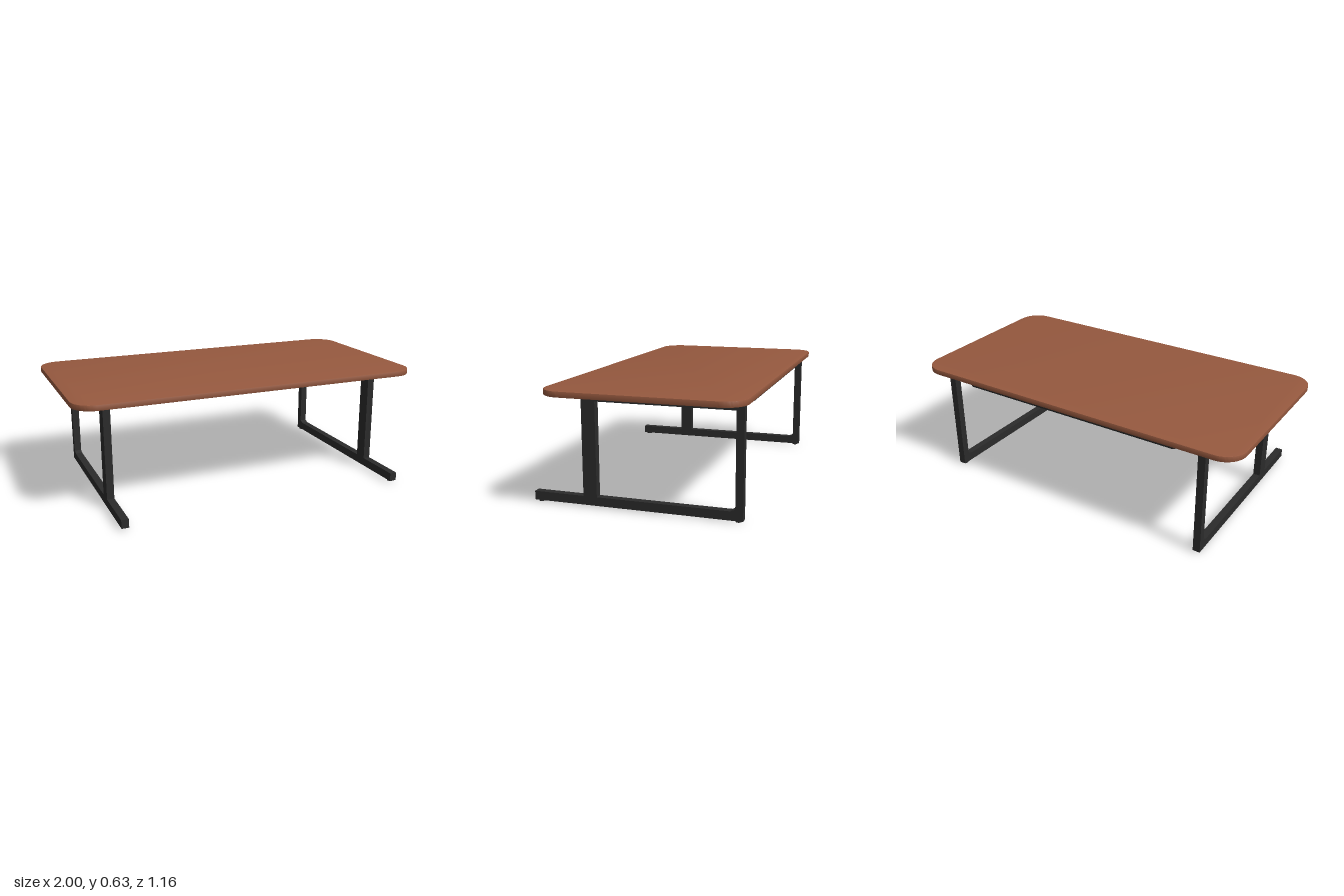
import * as THREE from 'three';
import { toCreasedNormals } from 'three/addons/utils/BufferGeometryUtils.js';

const wood = new THREE.MeshStandardMaterial({ color: 0x96593f });
wood.name = 'brown wood';
const metal = new THREE.MeshStandardMaterial({ color: 0x2b2b2b });
metal.name = 'black metal';

function addMesh(parent, name, geometry, material, x = 0, y = 0, z = 0) {
  const mesh = new THREE.Mesh(geometry, material);
  mesh.name = name;
  mesh.position.set(x, y, z);
  parent.add(mesh);
  return mesh;
}

// Horizontal slab with rounded corners, from its bottom to its top height
function roundedSlab(width, depth, radius, thickness, bevel) {
  const w = width / 2 - bevel, d = depth / 2 - bevel, r = radius - bevel;
  const shape = new THREE.Shape();
  shape.absarc(w - r, d - r, r, 0, Math.PI / 2);
  shape.absarc(-w + r, d - r, r, Math.PI / 2, Math.PI);
  shape.absarc(-w + r, -d + r, r, Math.PI, Math.PI * 1.5);
  shape.absarc(w - r, -d + r, r, Math.PI * 1.5, Math.PI * 2);
  shape.closePath();
  const geo = new THREE.ExtrudeGeometry(shape, {
    depth: thickness - 2 * bevel, bevelSize: bevel, bevelThickness: bevel,
    bevelSegments: 2, curveSegments: 12,
  });
  geo.rotateX(-Math.PI / 2).translate(0, bevel, 0);
  return toCreasedNormals(geo, 0.6);
}

// Side frame: outline in (z, y) with an opening, extruded across x
function frameGeometry(width) {
  const points = (list) => list.map(([z, y]) => new THREE.Vector2(z, y));
  const shape = new THREE.Shape(points([
    [-0.545, 0.008], [0.58, 0.008], [0.58, 0.055], [0.30, 0.055], [0.30, 0.60], [-0.545, 0.60],
  ]));
  shape.holes.push(new THREE.Path(points([
    [-0.48, 0.055], [-0.505, 0.066], [-0.505, 0.555], [0.225, 0.555], [0.225, 0.055],
  ])));
  const geo = new THREE.ExtrudeGeometry(shape, { depth: width, bevelEnabled: false });
  return geo.translate(0, 0, -width / 2).rotateY(-Math.PI / 2);
}

export function createModel() {
  const table = new THREE.Group();
  table.name = 'table';

  addMesh(table, 'tabletop', roundedSlab(2, 1.04, 0.12, 0.03, 0.002), wood, 0, 0.599, -0.06);
  addMesh(table, 'underPanel', roundedSlab(1.32, 0.8, 0.015, 0.03, 0.002), metal, 0, 0.57, -0.15);

  // Two side frames, each on a pair of small foot pads
  const frameGeo = frameGeometry(0.04);
  const padGeo = new THREE.CylinderGeometry(0.016, 0.016, 0.01, 16);
  for (const [side, sign] of [['left', 1], ['right', -1]]) {
    const leg = new THREE.Group();
    leg.name = side + 'LegFrame';
    leg.position.x = sign * 0.805;
    addMesh(leg, side + 'Frame', frameGeo, metal);
    addMesh(leg, side + 'FrontPad', padGeo, metal, 0, 0.005, 0.55);
    addMesh(leg, side + 'RearPad', padGeo, metal, 0, 0.005, -0.518);
    table.add(leg);
  }
  return table;
}
